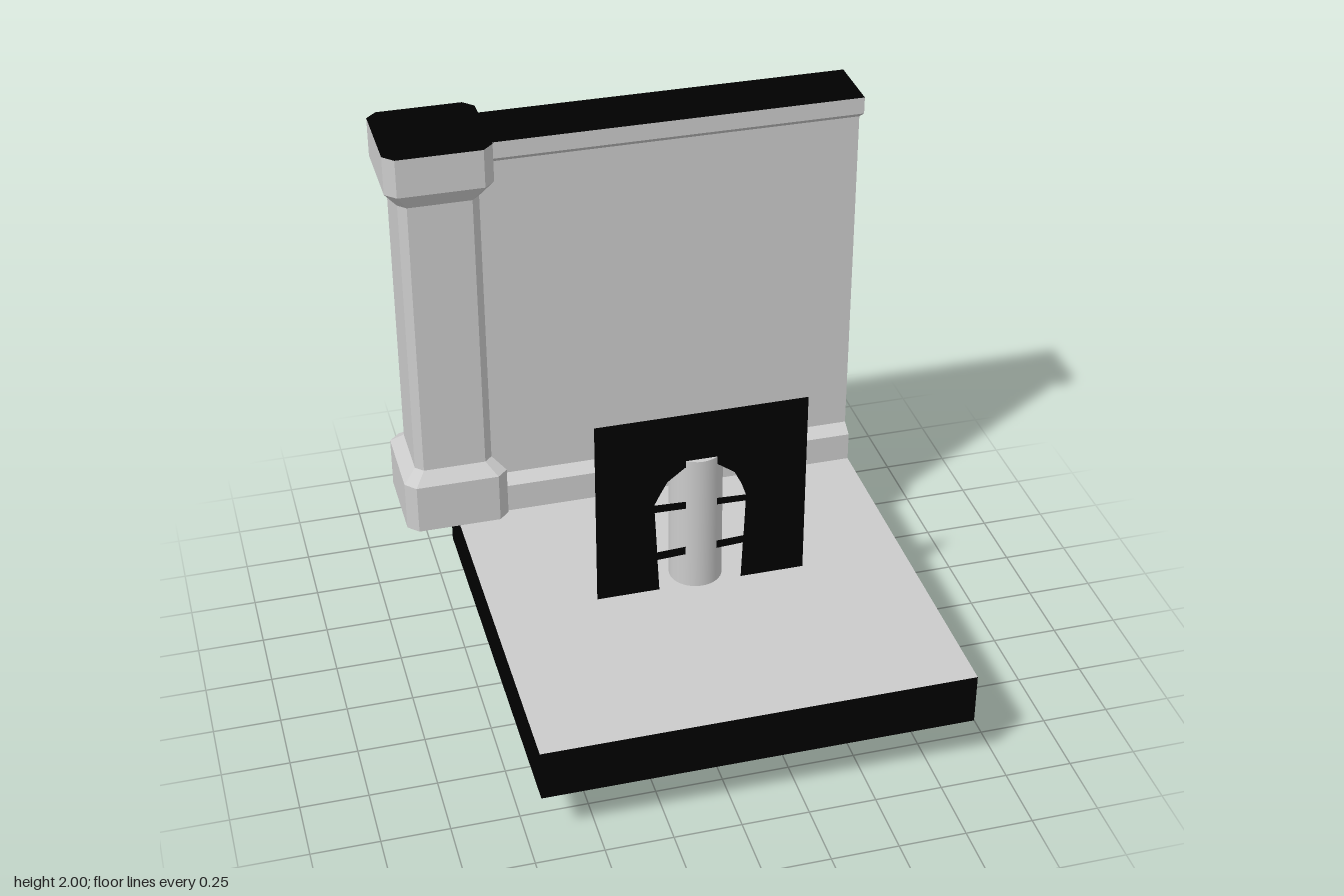
import * as THREE from 'three';

const grey = new THREE.MeshStandardMaterial({ color: 0xcccccc });
const greyFlat = new THREE.MeshStandardMaterial({ color: 0xcccccc, flatShading: true });
const black = new THREE.MeshStandardMaterial({ color: 0x000000 });
const blackSheet = new THREE.MeshStandardMaterial({ color: 0x000000, side: THREE.DoubleSide });

function mesh(name, geometry, material) {
  const m = new THREE.Mesh(geometry, material);
  m.name = name;
  return m;
}

// Geometry from a list of quads, each with corners counter-clockwise
function quads(list) {
  const pos = [];
  for (const [a, b, c, d] of list) pos.push(...a, ...b, ...c, ...a, ...c, ...d);
  const g = new THREE.BufferGeometry();
  g.setAttribute('position', new THREE.Float32BufferAttribute(pos, 3));
  g.computeVertexNormals();
  return g;
}

// Sweeps a [z, y] profile along x
function sweep(profile, x0, x1) {
  const list = [];
  for (let i = 0; i < profile.length - 1; i++) {
    const [z0, y0] = profile[i], [z1, y1] = profile[i + 1];
    list.push([[x0, y0, z0], [x1, y0, z0], [x1, y1, z1], [x0, y1, z1]]);
  }
  return quads(list);
}

// Square outline with cut corners, counter-clockwise in x and -z
function cutSquare(h, c) {
  const k = h - c;
  return [[h, -k], [h, k], [k, h], [-k, h], [-h, k], [-h, -k], [-k, -h], [k, -h]];
}

function createPillar() {
  const group = new THREE.Group();
  group.name = 'cornerPillar';
  // Height, half width, corner cut
  const rings = [
    [0.4, 0.2, 0.04], [0.6, 0.2, 0.04], [0.645, 0.15, 0.03],
    [1.78, 0.15, 0.03], [1.85, 0.2, 0.04], [2, 0.2, 0.04],
  ].map(([y, h, c]) => cutSquare(h, c).map(([x, s]) => [x, y, -s]));
  const list = [];
  for (let r = 0; r < rings.length - 1; r++) {
    for (let i = 0; i < 8; i++) {
      const j = (i + 1) % 8;
      list.push([rings[r][i], rings[r][j], rings[r + 1][j], rings[r + 1][i]]);
    }
  }
  group.add(mesh('pillarSides', quads(list), greyFlat));

  const outline = new THREE.Shape(cutSquare(0.2, 0.04).map(p => new THREE.Vector2(...p)));
  const top = new THREE.ShapeGeometry(outline).rotateX(-Math.PI / 2).translate(0, 2, 0);
  const bottom = new THREE.ShapeGeometry(outline).rotateX(Math.PI / 2).translate(0, 0.4, 0);
  group.add(mesh('pillarTop', top, black), mesh('pillarBottom', bottom, black));
  group.position.set(-0.7, 0, -0.7);
  return group;
}

function createWall() {
  const group = new THREE.Group();
  group.name = 'backWall';
  const face = [[-0.55, 0.4], [-0.55, 0.515], [-0.6, 0.545], [-0.6, 1.9], [-0.55, 1.935], [-0.55, 2]];
  const rear = [[-0.55, 2], [-0.8, 2], [-0.8, 0.4], [-0.55, 0.4]];
  group.add(mesh('wallFaceAndTrim', sweep(face, -0.7, 0.9), greyFlat));
  group.add(mesh('wallRear', sweep(rear, -0.7, 0.9), black));
  // Cut end showing the trim profile
  const section = new THREE.Shape([...face, [-0.8, 2], [-0.8, 0.4]].map(([z, y]) => new THREE.Vector2(-z, y)));
  const end = new THREE.ShapeGeometry(section).rotateY(Math.PI / 2).translate(0.9, 0, 0);
  group.add(mesh('wallEnd', end, black));
  return group;
}

// Thin upright panel with an arched opening crossed by two bars
function createPanel() {
  const shape = new THREE.Shape([[-0.3, 0], [0.5, 0], [0.5, 1.16], [-0.3, 1.16]].map(p => new THREE.Vector2(...p)));
  const openings = [
    [[-0.06, 0.38], [0.255, 0.38], [0.262, 0.555], [-0.068, 0.537]],
    [[-0.069, 0.572], [0.264, 0.588], [0.27, 0.745], [-0.078, 0.752]],
    [[-0.08, 0.785], [0.27, 0.772], [0.252, 0.825], [0.225, 0.88], [0.155, 0.93],
      [0.1, 0.945], [0.035, 0.93], [-0.03, 0.88], [-0.06, 0.825]],
  ];
  for (const o of openings) shape.holes.push(new THREE.Path(o.map(p => new THREE.Vector2(...p))));
  const panel = mesh('archPanel', new THREE.ShapeGeometry(shape), blackSheet);
  panel.position.z = 0.1;
  return panel;
}

export function createModel() {
  const model = new THREE.Group();
  model.name = 'roomCorner';

  // Floor slab with a grey top; box faces run +x, -x, +y, -y, +z, -z
  const floor = mesh('floor', new THREE.BoxGeometry(1.6, 0.2, 1.6), [black, black, grey, black, black, black]);
  floor.position.set(0.1, 0.3, 0.1);

  const post = mesh('roundPost', new THREE.CylinderGeometry(0.1, 0.1, 0.56, 32), grey);
  post.position.set(0.1, 0.68, 0.02);

  model.add(floor, createWall(), createPillar(), post, createPanel());
  return model;
}
